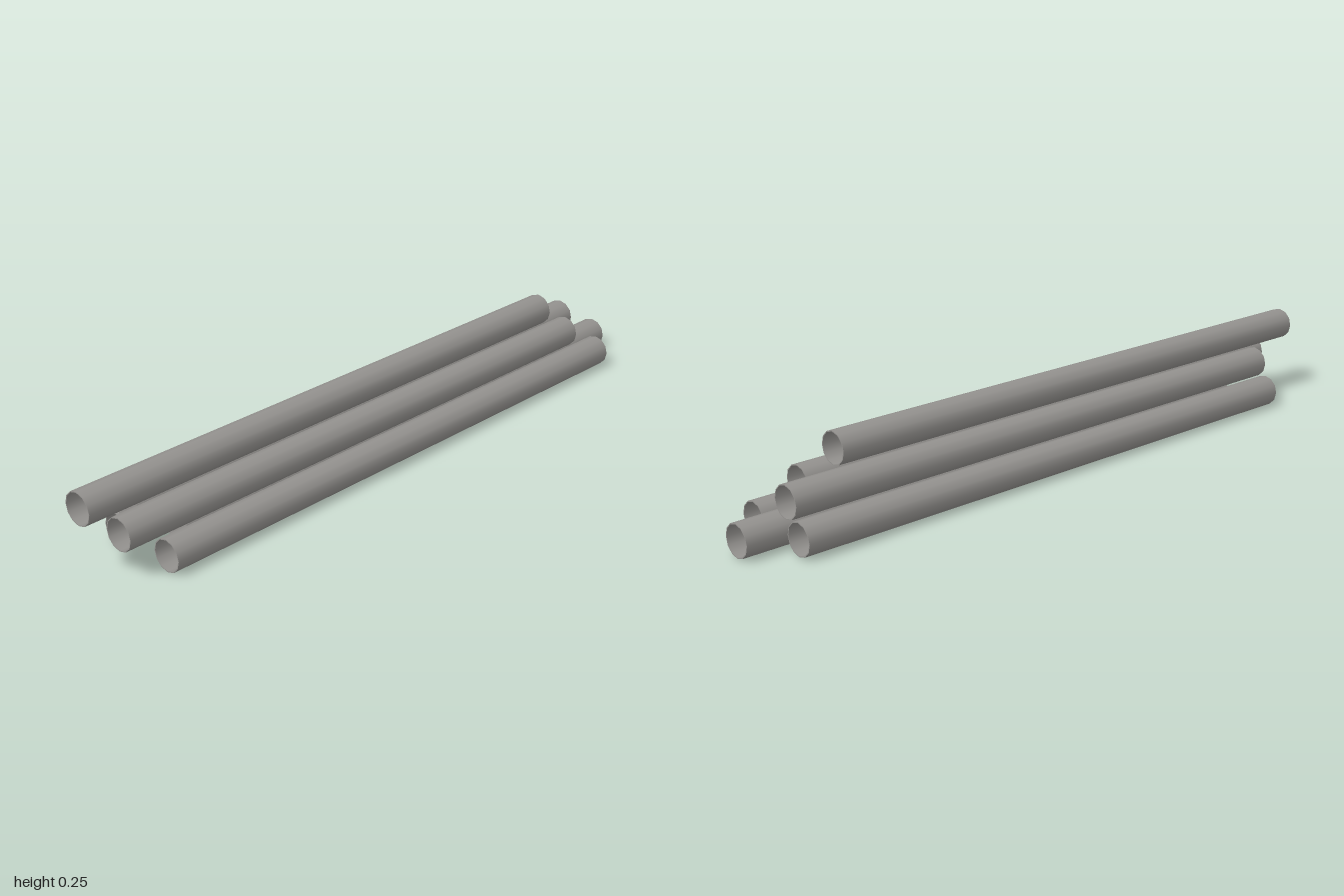
import * as THREE from 'three';
import { mergeGeometries } from 'three/addons/utils/BufferGeometryUtils.js';

const RADIUS = 0.0445, WALL = 0.0025, LENGTH = 1.715, SIDES = 12;

// Hollow pipe along x: outer skin, inward-facing inner skin and two end rings
function pipeGeometry() {
  const inner = RADIUS - WALL;
  const outside = new THREE.CylinderGeometry(RADIUS, RADIUS, LENGTH, SIDES, 1, true);
  const inside = new THREE.CylinderGeometry(inner, inner, LENGTH, SIDES, 1, true);
  inside.index.array.reverse();
  const normals = inside.attributes.normal.array;
  for (let i = 0; i < normals.length; i++) normals[i] *= -1;
  const ends = [1, -1].map((side) =>
    new THREE.RingGeometry(inner, RADIUS, SIDES, 1)
      .rotateX(-side * Math.PI / 2)
      .translate(0, side * LENGTH / 2, 0));
  return mergeGeometries([outside, inside, ...ends]).rotateZ(-Math.PI / 2);
}

export function createModel() {
  const group = new THREE.Group();
  group.name = 'pipeStack';
  const steel = new THREE.MeshStandardMaterial({ color: 0x94928f });
  steel.name = 'greySteel';
  const geometry = pipeGeometry();

  // Three rows of pipes, each pipe shifted lengthwise: name, x, y, z
  const pipes = [
    ['bottomFrontPipe', 0.0325, 0.0455, 0.0935],
    ['bottomMiddlePipe', 0.1425, 0.0455, 0],
    ['bottomBackPipe', 0.0325, 0.0455, -0.0935],
    ['middleFrontPipe', -0.0675, 0.126, 0.047],
    ['middleBackPipe', 0.0325, 0.126, -0.047],
    ['topPipe', -0.1425, 0.2065, 0],
  ];
  for (const [name, x, y, z] of pipes) {
    const pipe = new THREE.Mesh(geometry, steel);
    pipe.name = name;
    pipe.position.set(x, y - 0.001, z);
    group.add(pipe);
  }
  return group;
}
